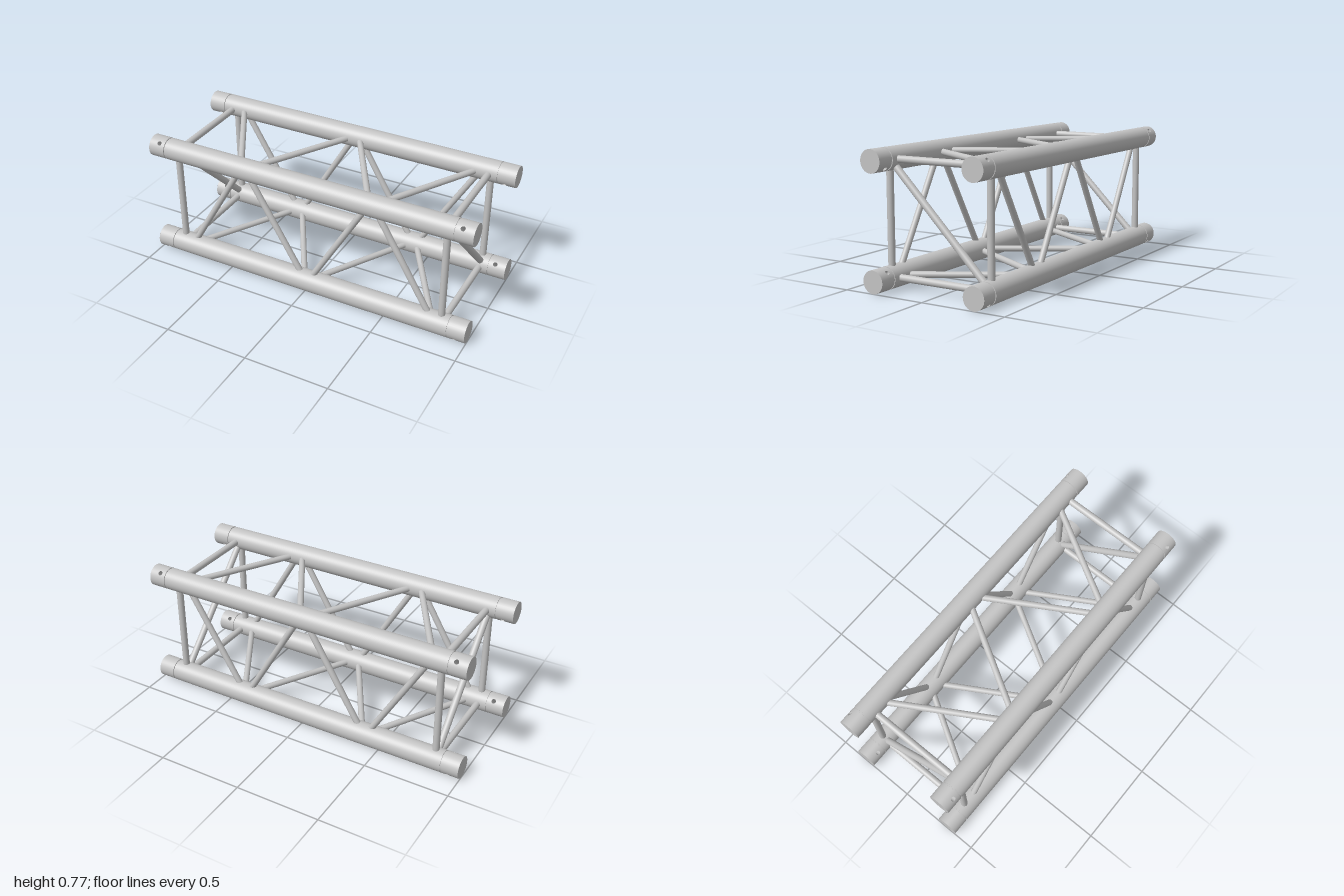
import * as THREE from 'three';
import { ParametricGeometry } from 'three/addons/geometries/ParametricGeometry.js';

const R = 0.064;        // chord radius
const OFF = 0.319;      // chord distance from the truss axis
const MID = OFF + R;    // height of the truss axis
const SLEEVE = 0.9;     // inner end of the end sleeves
const HOLE_X = 0.935, HOLE_R = 0.013;

const aluminium = new THREE.MeshStandardMaterial({ color: 0xc4c4c4, side: THREE.DoubleSide });
aluminium.name = 'aluminium';

function add(parent, name, geometry) {
  const mesh = new THREE.Mesh(geometry, aluminium);
  mesh.name = name;
  parent.add(mesh);
  return mesh;
}

// Round bar between two points
function rod(parent, name, a, b, radius) {
  const dir = b.clone().sub(a);
  const mesh = add(parent, name, new THREE.CylinderGeometry(radius, radius, dir.length(), 24));
  mesh.position.copy(a).add(b).multiplyScalar(0.5);
  mesh.quaternion.setFromUnitVectors(new THREE.Vector3(0, 1, 0), dir.normalize());
}

// Half of a sleeve wall, pierced by a pin hole on its +y side
function sleeveHalf() {
  const rim = (u, target) => {
    // walk around the unit square, starting halfway up its +x side
    const t = (u * 8 + 1) % 8, side = Math.floor(t / 2), k = (t % 2) - 1;
    const p = [[1, k], [-k, 1], [-1, -k], [k, -1]][side];
    return target.set(p[0], p[1]);
  };
  const sq = new THREE.Vector2();
  return new ParametricGeometry((u, v, out) => {
    rim(u, sq);
    const a = Math.atan2(sq.y, sq.x);
    const outerX = sq.x > 0 ? sq.x * (1 - HOLE_X) : sq.x * (HOLE_X - SLEEVE);
    const x = THREE.MathUtils.lerp(HOLE_R * Math.cos(a), outerX, v);
    const angle = THREE.MathUtils.lerp(HOLE_R / R * Math.sin(a), sq.y * Math.PI / 2, v);
    out.set(HOLE_X + x, R * Math.cos(angle), R * Math.sin(angle));
  }, 96, 8);
}

// End sleeve at +x with a pin hole right through it
function endSleeve(wall) {
  const g = new THREE.Group();
  g.name = 'endSleeve';
  add(g, 'sleeveWall', wall);
  add(g, 'sleeveWall', wall).rotation.x = Math.PI;
  const cap = add(g, 'endCap', new THREE.CircleGeometry(R, 64));
  cap.rotation.y = Math.PI / 2;
  cap.position.x = 1;
  const shoulder = add(g, 'sleeveShoulder', new THREE.CircleGeometry(R, 64));
  shoulder.rotation.y = -Math.PI / 2;
  shoulder.position.x = SLEEVE;
  const bore = new THREE.CylinderGeometry(HOLE_R, HOLE_R, 2 * R - 0.002, 24, 1, true);
  add(g, 'pinBore', bore).position.x = HOLE_X;
  return g;
}

// Main tube, recessed seam and the two sleeves
function chord(wall) {
  const g = new THREE.Group();
  g.name = 'chord';
  const tube = (name, r, len) => {
    add(g, name, new THREE.CylinderGeometry(r, r, len, 64)).rotation.z = Math.PI / 2;
  };
  tube('mainTube', R, 1.786);
  tube('seamCore', R - 0.004, 2 * SLEEVE - 0.002);
  const left = endSleeve(wall), right = endSleeve(wall);
  right.rotation.y = Math.PI;
  g.add(left, right);
  return g;
}

export function createModel() {
  const model = new THREE.Group();
  model.name = 'boxTruss';
  const wall = sleeveHalf();

  // Four corner chords, pin holes along the section diagonals
  for (const sy of [-1, 1]) for (const sz of [-1, 1]) {
    const c = chord(wall);
    c.position.set(0, MID + sy * OFF, sz * OFF);
    c.rotation.x = sy * sz * Math.PI / 4;
    model.add(c);
  }

  // Each side: point(x, s) with s running across from chord to chord
  const sides = [
    { name: 'front', start: -1, point: (x, s) => new THREE.Vector3(x, MID + s, OFF) },
    { name: 'back', start: 1, point: (x, s) => new THREE.Vector3(x, MID + s, -OFF) },
    { name: 'top', start: -1, point: (x, s) => new THREE.Vector3(x, MID + OFF, s) },
    { name: 'bottom', start: 1, point: (x, s) => new THREE.Vector3(x, MID - OFF, s) },
  ];
  for (const { name, start, point } of sides) {
    // Square end struts
    for (const x of [-0.84, 0.84]) {
      rod(model, name + 'Strut', point(x, -0.259), point(x, 0.259), 0.02);
    }
    // Zigzag braces
    for (let i = 0; i < 4; i++) {
      const x = -0.6 + 0.4 * i, s = (i % 2 ? -start : start) * 0.265;
      rod(model, name + 'Brace', point(x - 0.156, s), point(x + 0.156, -s), 0.018);
    }
  }

  // Diagonals across both end frames, top front to bottom back
  for (const x of [-0.84, 0.84]) {
    rod(model, 'endDiagonal', new THREE.Vector3(x, MID + 0.277, 0.277),
      new THREE.Vector3(x, MID - 0.277, -0.277), 0.02);
  }
  return model;
}
